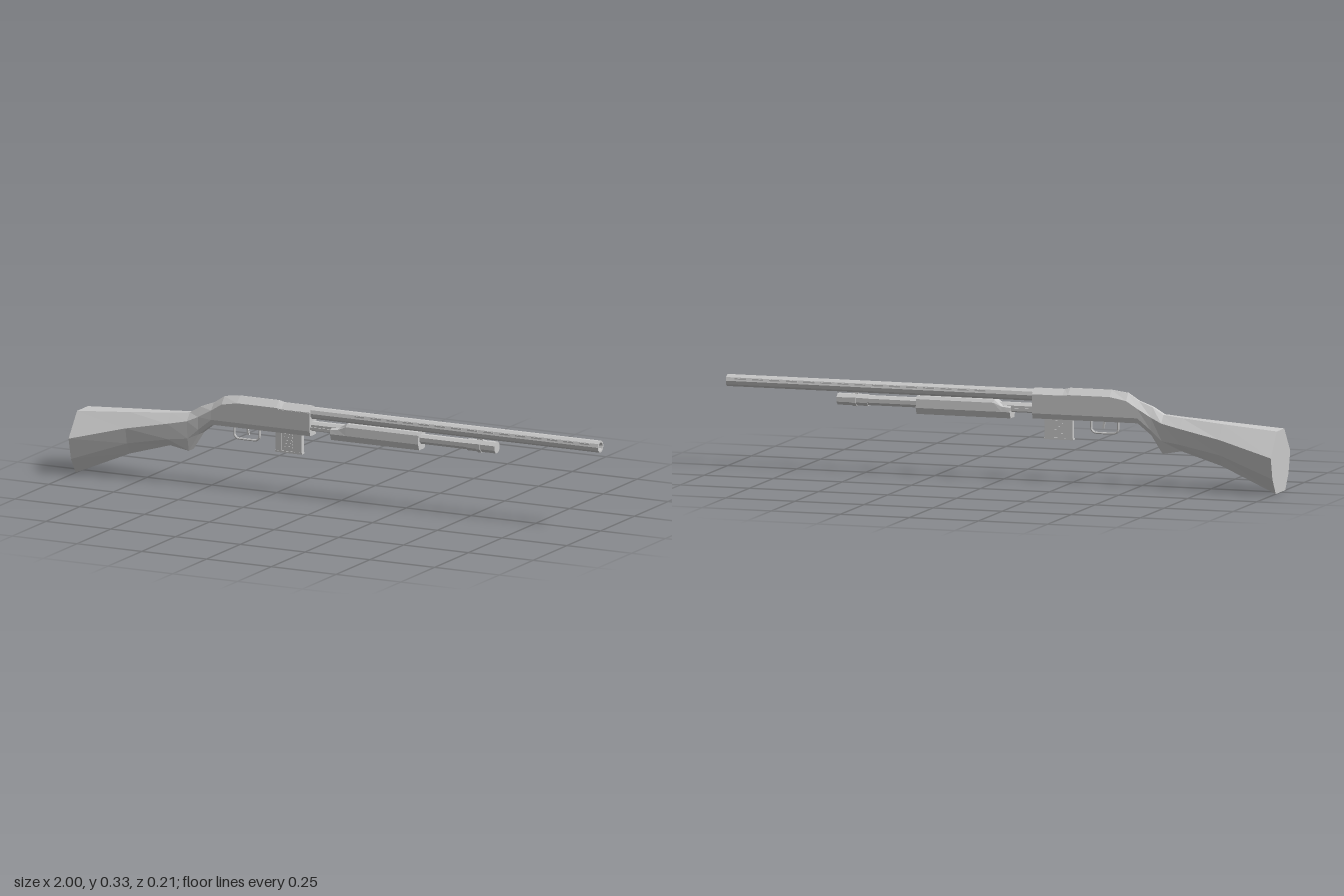
import * as THREE from 'three';

const material = new THREE.MeshStandardMaterial({ color: 0xcccccc, flatShading: true });

function add(parent, name, geometry, x = 0, y = 0, z = 0) {
  const mesh = new THREE.Mesh(geometry, material);
  mesh.name = name;
  mesh.position.set(x, y, z);
  parent.add(mesh);
  return mesh;
}

// Loft along x. Each station is x followed by half-width, height pairs from top to bottom.
function loft(stations) {
  const rings = stations.map(([x, ...p]) => {
    const left = [], right = [];
    for (let i = 0; i < p.length; i += 2) {
      left.push([x, p[i + 1], p[i]]);
      right.unshift([x, p[i + 1], -p[i]]);
    }
    return [...left, ...right];
  });
  const pos = [];
  const tri = (...corners) => corners.forEach((c) => pos.push(...c));
  const n = rings[0].length;
  for (let i = 0; i < rings.length - 1; i++) {
    for (let j = 0; j < n; j++) {
      const k = (j + 1) % n, a = rings[i], b = rings[i + 1];
      tri(a[j], a[k], b[k]);
      tri(a[j], b[k], b[j]);
    }
  }
  const first = rings[0], last = rings[rings.length - 1];
  for (let j = 1; j < n - 1; j++) {
    tri(first[0], first[j + 1], first[j]);
    tri(last[0], last[j], last[j + 1]);
  }
  const g = new THREE.BufferGeometry();
  g.setAttribute('position', new THREE.Float32BufferAttribute(pos, 3));
  g.computeVertexNormals();
  return g;
}

// Cylinder lying along x between two ends
function rod(parent, name, x0, x1, y, radius, sides = 8) {
  const g = new THREE.CylinderGeometry(radius, radius, x1 - x0, sides);
  g.rotateY(Math.PI / sides).rotateZ(-Math.PI / 2);
  return add(parent, name, g, (x0 + x1) / 2, y, 0);
}

export function createModel() {
  const model = new THREE.Group();
  model.name = 'longGun';

  // Stock flaring to the butt, with a pinched grip
  add(model, 'stock', loft([
    [-1, 0.04, 0.215, 0.103, 0.13, 0.085, 0.055, 0.05, 0],
    [-0.8, 0.03, 0.23, 0.066, 0.18, 0.055, 0.125, 0.033, 0.085],
    [-0.65, 0.016, 0.242, 0.045, 0.208, 0.038, 0.152, 0.022, 0.128],
    [-0.58, 0.01, 0.249, 0.034, 0.222, 0.028, 0.16, 0.018, 0.115],
    [-0.54, 0.008, 0.273, 0.028, 0.24, 0.026, 0.195, 0.02, 0.178],
    [-0.49, 0.005, 0.292, 0.026, 0.268, 0.026, 0.235, 0.02, 0.217],
  ]));

  // Receiver with a ridged roof
  add(model, 'receiver', loft([
    [-0.49, 0.005, 0.292, 0.026, 0.268, 0.026, 0.235, 0.02, 0.217],
    [-0.45, 0.003, 0.318, 0.026, 0.293, 0.026, 0.235, 0.02, 0.217],
    [-0.39, 0.002, 0.326, 0.026, 0.304, 0.026, 0.235, 0.02, 0.217],
    [-0.24, 0.002, 0.326, 0.026, 0.304, 0.026, 0.235, 0.02, 0.217],
    [-0.22, 0.002, 0.321, 0.026, 0.301, 0.026, 0.235, 0.02, 0.217],
    [-0.11, 0.002, 0.321, 0.026, 0.301, 0.026, 0.235, 0.02, 0.217],
  ]));
  add(model, 'ejectionPort', new THREE.BoxGeometry(0.13, 0.03, 0.004), -0.175, 0.284, 0.0255);

  // Trigger and its guard loop
  const guard = new THREE.CatmullRomCurve3([
    [-0.413, 0.222], [-0.413, 0.187], [-0.4, 0.175], [-0.33, 0.175], [-0.316, 0.187], [-0.316, 0.222],
  ].map(([x, y]) => new THREE.Vector3(x, y, 0)), false, 'catmullrom', 0.2);
  add(model, 'triggerGuard', new THREE.TubeGeometry(guard, 24, 0.004, 6));
  const trigger = add(model, 'trigger', new THREE.BoxGeometry(0.007, 0.035, 0.006), -0.362, 0.208);
  trigger.rotation.z = 0.2;

  // Box magazine with raised edges and a stack of side ribs
  const magazine = new THREE.Group();
  magazine.name = 'magazine';
  model.add(magazine);
  add(magazine, 'magazineBody', new THREE.BoxGeometry(0.1, 0.072, 0.014), -0.2, 0.183);
  for (const x of [-0.238, -0.162]) {
    add(magazine, 'magazineEdge', new THREE.BoxGeometry(0.024, 0.072, 0.019), x, 0.183);
  }
  add(magazine, 'magazineFloor', new THREE.BoxGeometry(0.104, 0.006, 0.021), -0.2, 0.149);
  for (let i = 0; i < 5; i++) {
    add(magazine, 'magazineRib', new THREE.BoxGeometry(0.032, 0.005, 0.018), -0.2, 0.166 + i * 0.011);
  }

  // Barrel with an open muzzle
  const bore = [[0.009, 0.95], [0.015, 1], [0.021, 1], [0.021, -0.14], [0, -0.14], [0, 0.95], [0.009, 0.95]];
  const barrel = new THREE.LatheGeometry(
    bore.map(([r, x]) => new THREE.Vector2(r, x)).reverse(), 10);
  barrel.rotateZ(-Math.PI / 2);
  add(model, 'barrel', barrel, 0, 0.296, 0);

  // Dashed vent rib on both sides of the barrel top
  for (let i = 0; i < 15; i++) {
    for (const side of [1, -1]) {
      add(model, 'ventRib', new THREE.BoxGeometry(0.04, 0.005, 0.005),
        0.08 + i * 0.062, 0.304, side * 0.0175);
    }
  }

  // Tube below the barrel, its end cap and the clamp joining both
  rod(model, 'magazineTube', -0.14, 0.52, 0.25, 0.018);
  rod(model, 'tubeCap', 0.49, 0.6, 0.25, 0.021);
  rod(model, 'clampRing', 0.53, 0.545, 0.25, 0.024);
  add(model, 'clampPost', new THREE.BoxGeometry(0.02, 0.035, 0.014), 0.537, 0.275);

  // Sliding fore-end
  add(model, 'foreEnd', loft([
    [-0.03, 0.014, 0.256, 0.026, 0.25, 0.029, 0.235, 0.02, 0.213],
    [0.0, 0.014, 0.258, 0.026, 0.253, 0.029, 0.235, 0.02, 0.213],
    [0.03, 0.018, 0.275, 0.026, 0.265, 0.029, 0.235, 0.02, 0.213],
    [0.31, 0.018, 0.275, 0.026, 0.265, 0.029, 0.235, 0.02, 0.213],
  ]));
  for (const side of [1, -1]) {
    add(model, 'actionBar', new THREE.BoxGeometry(0.12, 0.01, 0.004), -0.07, 0.244, side * 0.019);
  }
  return model;
}
